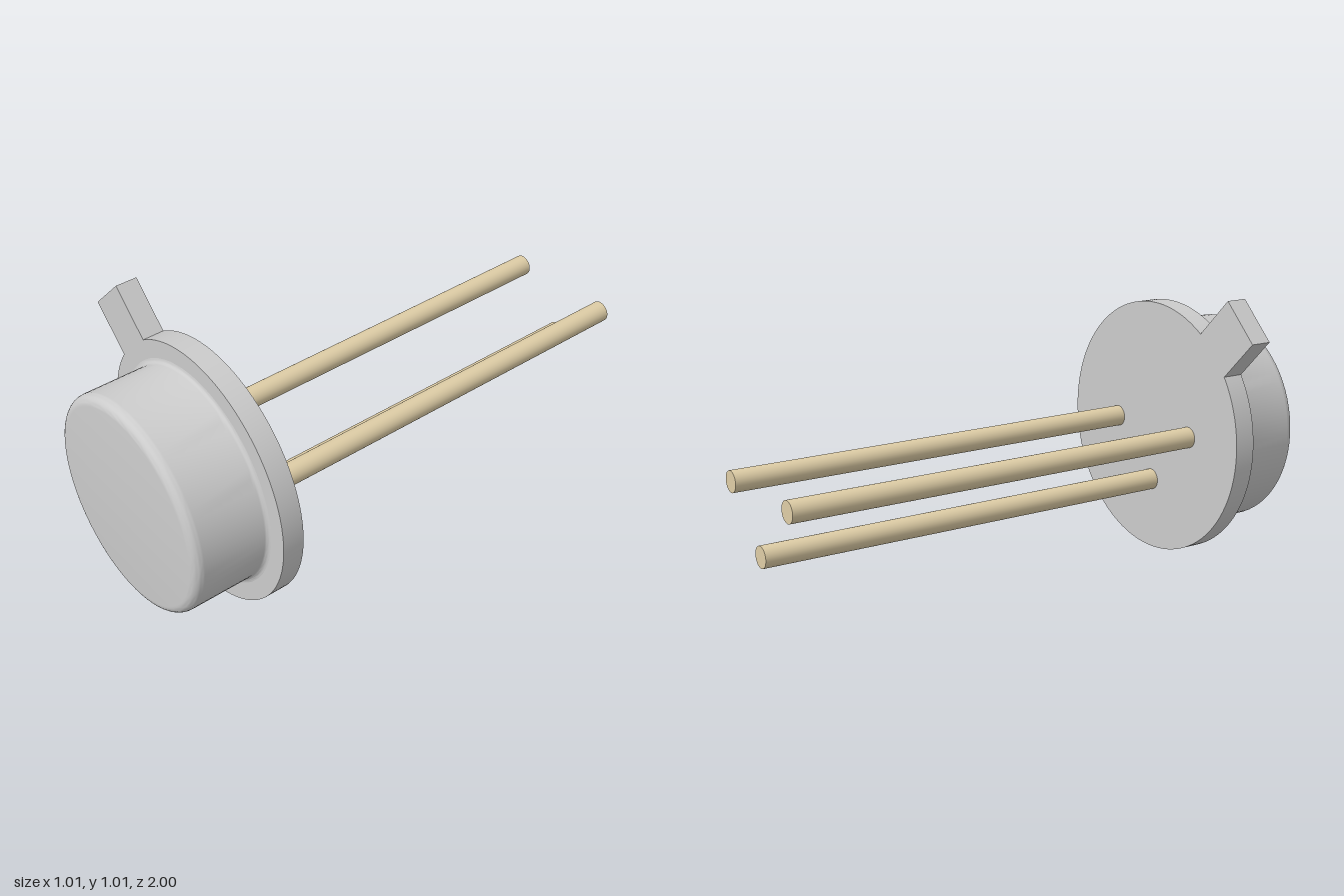
import * as THREE from 'three';
import { toCreasedNormals } from 'three/addons/utils/BufferGeometryUtils.js';

const CX = 0.031, CY = 0.477;            // axis of the can
const FLANGE_R = 0.475, CAP_R = 0.392;
const BACK = 0.64, FLANGE_FRONT = 0.72, FRONT = 1;

export function createModel() {
  const model = new THREE.Group();
  model.name = 'metalCanTransistor';
  const metal = new THREE.MeshStandardMaterial({ color: 0xcccccc });
  const gold = new THREE.MeshStandardMaterial({ color: 0xdecda6 });

  const add = (name, geometry, material, x, y, z) => {
    const mesh = new THREE.Mesh(geometry, material);
    mesh.name = name;
    mesh.position.set(x, y, z);
    model.add(mesh);
    return mesh;
  };

  // Flange: disc with a square index tab, drawn along +x then turned to the upper corner
  const tabHalf = 0.095, tabTip = 0.664;
  const a = Math.asin(tabHalf / FLANGE_R);
  const outline = new THREE.Shape();
  outline.moveTo(tabTip, -tabHalf);
  outline.lineTo(tabTip, tabHalf);
  outline.absarc(0, 0, FLANGE_R, a, Math.PI * 2 - a, false);
  outline.closePath();
  const flange = new THREE.ExtrudeGeometry(outline, {
    depth: FLANGE_FRONT - BACK, bevelEnabled: false, curveSegments: 72,
  });
  add('flangeWithTab', toCreasedNormals(flange, 0.5), metal, CX, CY, BACK).rotation.z = Math.PI * 0.75;

  // Cap: lathe with a small fillet at the base and a rounded front rim
  const foot = 0.018, rim = 0.035, depth = FRONT - FLANGE_FRONT;
  const profile = [];
  for (let i = 0; i <= 5; i++) {
    const t = (i / 5) * Math.PI / 2;
    profile.push(new THREE.Vector2(CAP_R + foot * (1 - Math.sin(t)), foot * (1 - Math.cos(t))));
  }
  for (let i = 0; i <= 8; i++) {
    const t = (i / 8) * Math.PI / 2;
    profile.push(new THREE.Vector2(CAP_R - rim + rim * Math.cos(t), depth - rim + rim * Math.sin(t)));
  }
  profile.push(new THREE.Vector2(0, depth));
  const cap = toCreasedNormals(new THREE.LatheGeometry(profile, 72), 0.5);
  add('cap', cap, metal, CX, CY, FLANGE_FRONT).rotation.x = Math.PI / 2;

  // Three leads running back from the flange
  const length = BACK + 1;
  const lead = new THREE.CylinderGeometry(0.039, 0.039, length, 32);
  lead.rotateX(Math.PI / 2);
  const spots = { leftLead: [0.208, 0], middleLead: [0, -0.208], rightLead: [-0.208, 0] };
  for (const [name, [dx, dy]] of Object.entries(spots)) {
    add(name, lead, gold, CX + dx, CY + dy, BACK - length / 2);
  }

  return model;
}
